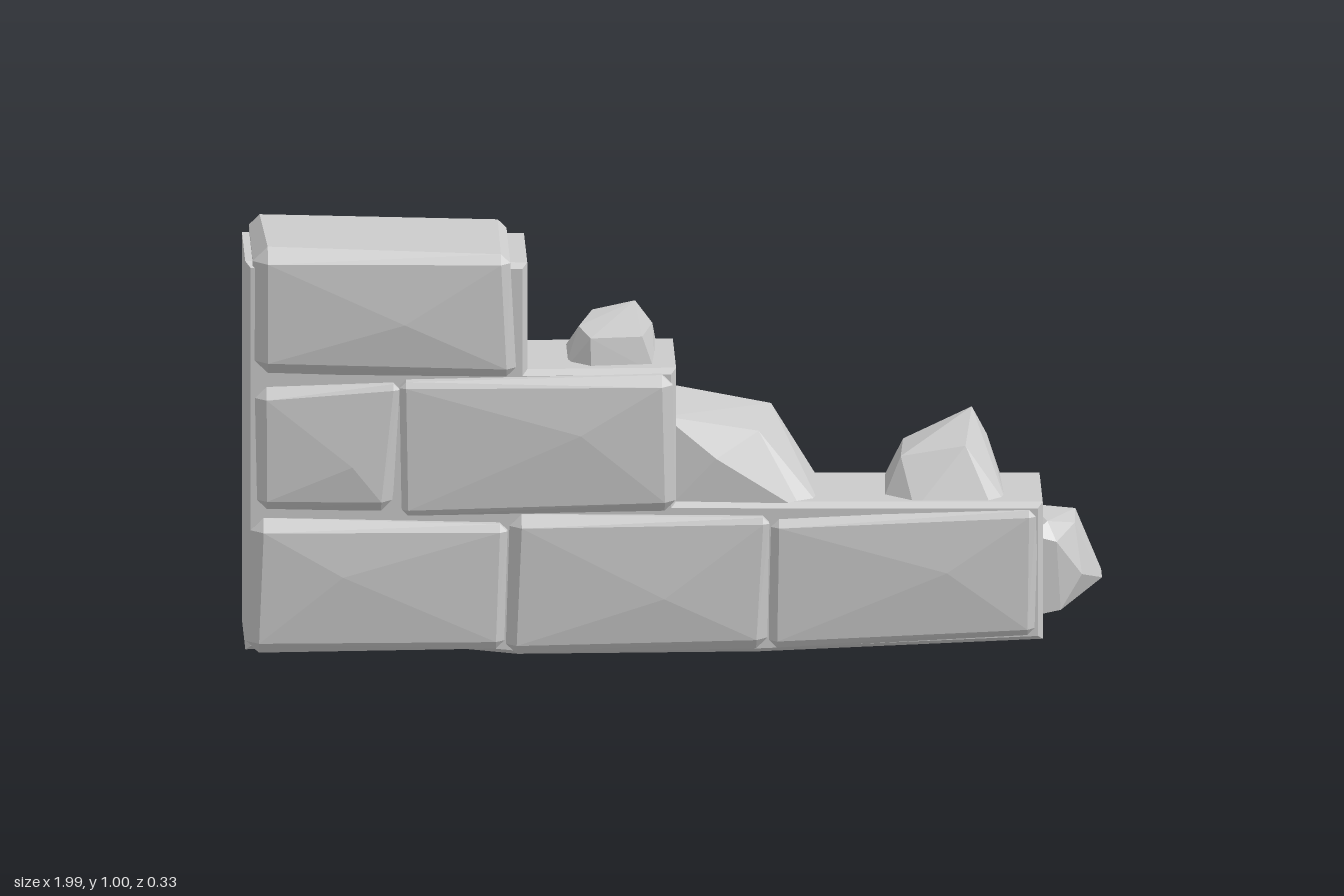
import * as THREE from 'three';
import { ConvexGeometry } from 'three/addons/geometries/ConvexGeometry.js';

export function createModel() {
  const wall = new THREE.Group();
  wall.name = 'ruinedWall';
  const material = new THREE.MeshStandardMaterial({ color: 0xcccccc, flatShading: true });

  function add(name, geometry) {
    const mesh = new THREE.Mesh(geometry, material);
    mesh.name = name;
    wall.add(mesh);
  }

  // Mortar core: a stepped slab with a slightly uneven underside
  const outline = [
    [-0.98, 0.03], [-0.66, 0.045], [-0.36, 0.012], [0.2, 0.012], [0.845, 0.035],
    [0.845, 0.345], [-0.005, 0.355], [-0.005, 0.68], [-0.35, 0.68], [-0.35, 0.94], [-0.98, 0.95],
  ].map(([x, y]) => new THREE.Vector2(x, y));
  const core = new THREE.ExtrudeGeometry(new THREE.Shape(outline), {
    depth: 0.222, bevelEnabled: true, bevelThickness: 0.015, bevelSize: 0.012, bevelSegments: 1,
  });
  core.translate(0, 0, -0.111);
  add('mortarCore', core);

  // Chamfered stone: corners run bottom left, bottom right, top right, top left
  function stone(name, corners, zBack, zFront, peak, chamfer = 0.022) {
    const points = [];
    const cx = corners.reduce((sum, c) => sum + c[0], 0) / 4;
    const cy = corners.reduce((sum, c) => sum + c[1], 0) / 4;
    for (const [z, side] of [[zBack, -1], [zFront, 1]]) {
      corners.forEach(([x, y], i) => {
        const c = chamfer * (1 + 0.35 * Math.sin(i * 2.3 + cx * 9 + side));
        const ix = x - Math.sign(x - cx) * c;
        const iy = y - Math.sign(y - cy) * c;
        const rim = z - side * c * 1.1;
        points.push(
          new THREE.Vector3(ix, iy, z - side * 0.008),
          new THREE.Vector3(x, iy, rim),
          new THREE.Vector3(ix, y, rim),
        );
      });
      // Shallow bulge on the broad face
      points.push(new THREE.Vector3(cx + peak[0] * side, cy + peak[1] * side, z + side * 0.004));
    }
    add(name, new ConvexGeometry(points));
  }

  // Bottom course
  stone('bottomStoneLeft', [[-0.99, 0.015], [-0.392, 0.022], [-0.385, 0.325], [-0.98, 0.342]], -0.16, 0.16, [-0.08, 0.03]);
  stone('bottomStoneMiddle', [[-0.388, 0.008], [0.218, 0.014], [0.222, 0.335], [-0.38, 0.345]], -0.162, 0.16, [0.06, -0.03]);
  stone('bottomStoneRight', [[0.222, 0.014], [0.85, 0.025], [0.84, 0.342], [0.222, 0.33]], -0.16, 0.148, [0.1, 0.02]);

  // Middle course
  stone('middleStoneLeft', [[-0.965, 0.365], [-0.65, 0.355], [-0.635, 0.668], [-0.97, 0.66]], -0.152, 0.155, [0.06, -0.04]);
  stone('middleStoneRight', [[-0.63, 0.35], [0.005, 0.352], [-0.002, 0.682], [-0.635, 0.675]], -0.155, 0.163, [0.1, 0.03]);

  // Top course
  stone('topStone', [[-0.975, 0.69], [-0.365, 0.682], [-0.378, 0.98], [-0.975, 1.0]], -0.153, 0.16, [0.05, -0.02], 0.026);

  // Broken rubble chunks, each the hull of a few corner points
  function rubble(name, points) {
    add(name, new ConvexGeometry(points.map((p) => new THREE.Vector3(...p))));
  }

  rubble('rubbleSlope', [
    [-0.02, 0.34, 0.11], [0.3, 0.34, 0.115], [0.345, 0.34, 0.09], [0.345, 0.34, -0.14], [-0.02, 0.34, -0.155],
    [-0.02, 0.57, 0.1], [0.01, 0.57, -0.14], [0.2, 0.52, 0.06], [0.235, 0.53, -0.12],
    [0.1, 0.47, 0.115], [0.29, 0.43, -0.14],
  ]);
  rubble('rubblePeak', [
    [0.485, 0.34, 0.06], [0.49, 0.34, -0.11], [0.56, 0.34, 0.115], [0.74, 0.34, 0.11], [0.775, 0.34, 0.08], [0.77, 0.34, -0.12],
    [0.53, 0.45, 0.045], [0.54, 0.45, -0.09], [0.68, 0.475, 0.05], [0.7, 0.52, -0.11], [0.735, 0.45, -0.12],
  ]);
  rubble('rubbleTop', [
    [-0.25, 0.67, 0.05], [-0.25, 0.67, -0.1], [-0.19, 0.67, 0.095], [-0.04, 0.67, 0.085], [-0.03, 0.67, -0.14], [-0.16, 0.67, -0.145],
    [-0.215, 0.76, 0.0], [-0.19, 0.755, 0.08], [-0.07, 0.755, 0.07], [-0.08, 0.78, -0.13], [-0.18, 0.765, -0.11], [-0.04, 0.725, -0.13],
  ]);
  rubble('rubbleEnd', [
    [0.83, 0.07, 0.085], [0.83, 0.27, 0.095], [0.83, 0.285, -0.1], [0.83, 0.065, -0.12],
    [0.87, 0.29, 0.05], [0.935, 0.27, 0.0], [0.94, 0.27, -0.11], [0.89, 0.25, 0.085],
    [0.9, 0.08, 0.07], [0.95, 0.16, 0.05], [1.0, 0.12, -0.05], [1.0, 0.12, -0.115], [0.94, 0.085, -0.1],
  ]);

  return wall;
}
